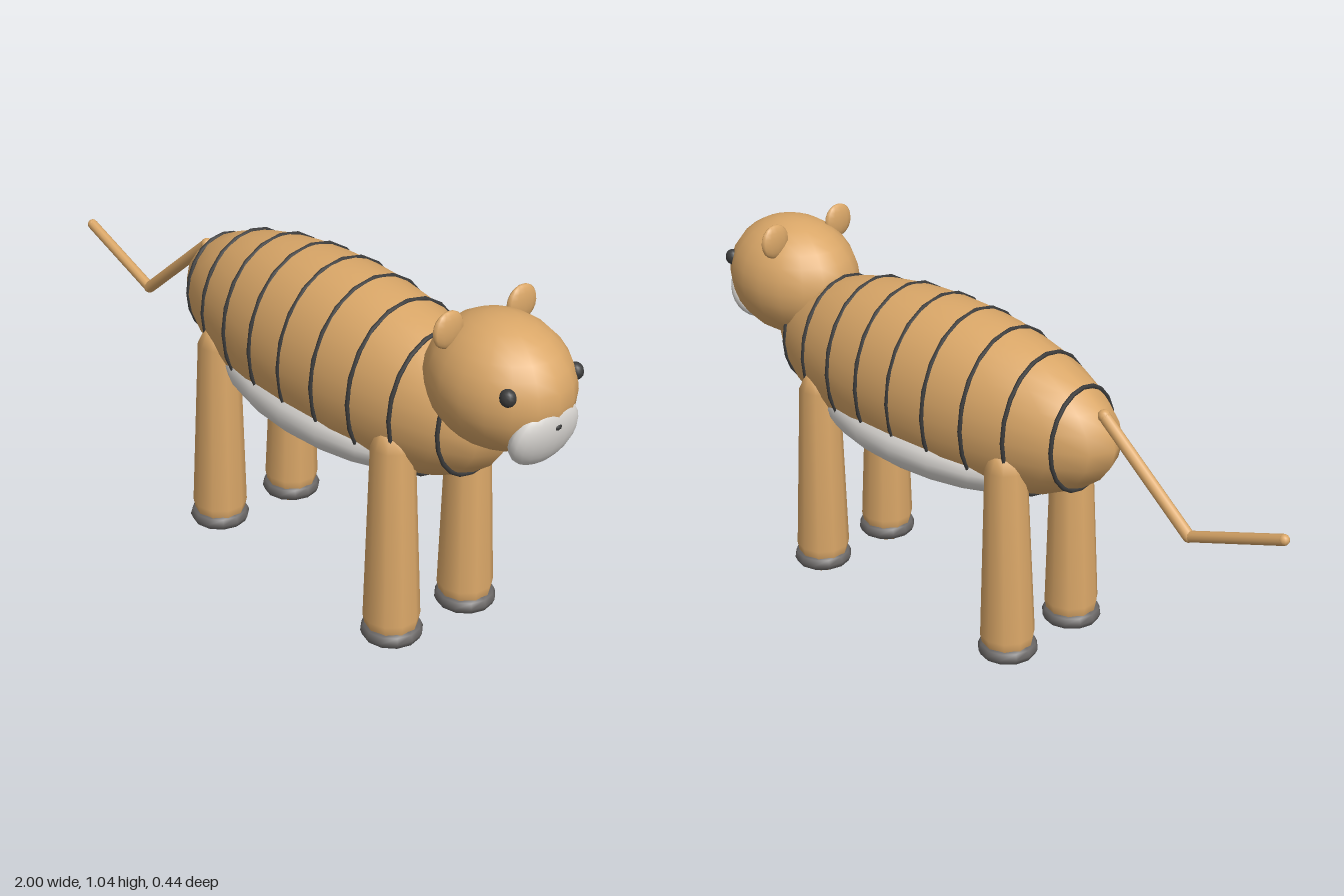
import * as THREE from 'three';

const paint = (name, color) => {
  const m = new THREE.MeshStandardMaterial({ color });
  m.name = name;
  return m;
};

export function createModel() {
  const tan = paint('tan fur', 0xdaa768);
  const white = paint('white fur', 0xdfdcd8);
  const dark = paint('dark stripe', 0x3c3c3c);
  const grey = paint('grey paw band', 0x6a6766);
  const model = new THREE.Group();

  const add = (name, geometry, material, x = 0, y = 0, z = 0) => {
    const mesh = new THREE.Mesh(geometry, material);
    mesh.name = name;
    mesh.position.set(x, y, z);
    model.add(mesh);
    return mesh;
  };
  const ellipsoid = (name, material, pos, radii, w = 20, h = 14) => {
    const mesh = add(name, new THREE.SphereGeometry(1, w, h), material, ...pos);
    mesh.scale.set(...radii);
    return mesh;
  };

  // Body lies along x, with a pale belly bulging out of its lower sides
  const body = { x: 0.19, y: 0.69, rx: 0.63, ry: 0.255, rz: 0.213 };
  ellipsoid('body', tan, [body.x, body.y, 0], [body.rx, body.ry, body.rz], 20, 16);
  ellipsoid('belly', white, [0.19, 0.555, 0], [0.45, 0.115, 0.212]);

  // Thin rings following the body's cross-section
  for (let i = -4; i <= 4; i++) {
    const dx = i * 0.129;
    const f = Math.sqrt(1 - (dx / body.rx) ** 2);
    const ring = new THREE.TorusGeometry(1, 0.006 / (body.rz * f), 6, 20);
    ring.rotateY(Math.PI / 2);
    const stripe = add('stripe', ring, dark, body.x + dx, body.y, 0);
    stripe.scale.set(body.rz * f, body.ry * f, body.rz * f);
  }

  // Head and face
  ellipsoid('head', tan, [0.79, 0.845, 0], [0.207, 0.173, 0.17], 18, 14);
  const muzzle = ellipsoid('muzzle', white, [0.945, 0.765, 0], [0.045, 0.095, 0.105]);
  muzzle.rotation.z = -0.3;
  ellipsoid('nose', dark, [0.981, 0.798, 0], [0.018, 0.014, 0.018], 12, 8);
  for (const side of [1, -1]) {
    ellipsoid('ear', tan, [0.73, 0.99, side * 0.12], [0.016, 0.049, 0.049], 12, 10);
    ellipsoid('eye', dark, [0.932, 0.887, side * 0.111], [0.022, 0.023, 0.02], 12, 8);
  }

  // Tapered legs with rounded ends and a band around each paw
  const profile = [[0, 0], [0.045, 0.022], [0.068, 0.06], [0.076, 0.1], [0.058, 0.6], [0.04, 0.64], [0, 0.665]]
    .map(([r, y]) => new THREE.Vector2(r, y));
  const legShape = new THREE.LatheGeometry(profile, 10);
  const bandShape = new THREE.TorusGeometry(0.062, 0.022, 8, 12).rotateX(Math.PI / 2);
  for (const [name, x, lean] of [['frontLeg', 0.565, 0.02], ['hindLeg', -0.185, -0.015]]) {
    for (const side of [1, -1]) {
      add(name, legShape, tan, x, 0, side * 0.13).rotation.z = lean;
      add('pawBand', bandShape, grey, x, 0.056, side * 0.13);
    }
  }

  // Bent tail: two straight rods and rounded joints
  const tail = [[-0.4, 0.78, 0], [-0.692, 0.538, 0], [-0.985, 0.64, 0]].map((p) => new THREE.Vector3(...p));
  tail.forEach((p, i) => {
    const r = 0.018 - i * 0.0015;
    ellipsoid('tailJoint', tan, p.toArray(), [r, r, r], 10, 8);
    if (i === 0) return;
    const path = new THREE.LineCurve3(tail[i - 1], p);
    add('tailSegment', new THREE.TubeGeometry(path, 1, r, 10), tan);
  });

  return model;
}
